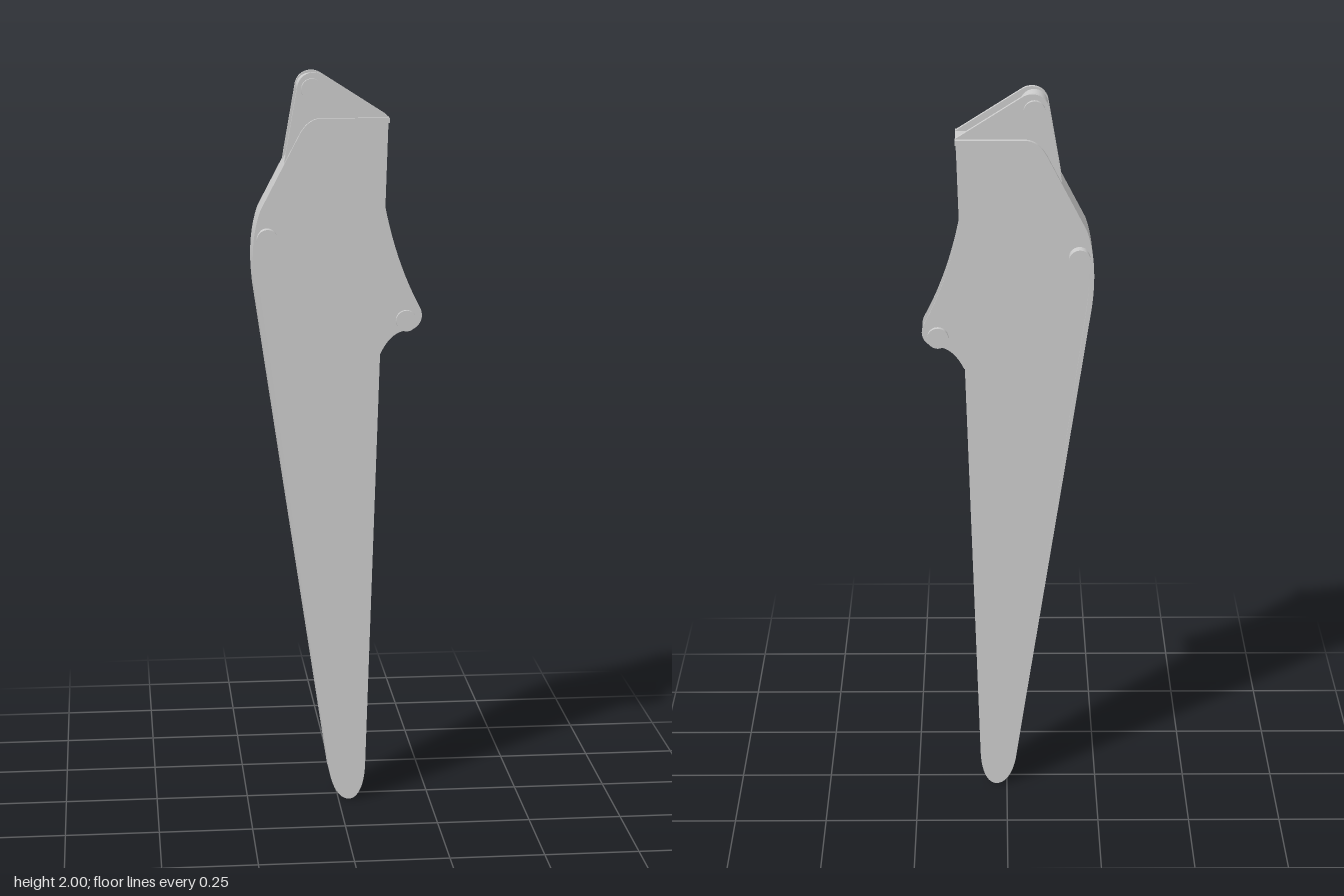
import * as THREE from 'three';
import { toCreasedNormals, mergeVertices } from 'three/addons/utils/BufferGeometryUtils.js';

const material = new THREE.MeshStandardMaterial({ color: 0xcccccc });

function part(name, geometry, parent) {
  const mesh = new THREE.Mesh(geometry, material);
  mesh.name = name;
  parent.add(mesh);
  return mesh;
}

// Plate of the given outline between two depths
function plate(shape, z0, z1) {
  const g = new THREE.ExtrudeGeometry(shape, { depth: z1 - z0, bevelEnabled: false, curveSegments: 16 });
  g.translate(0, 0, z0);
  return toCreasedNormals(g, 0.5);
}

// Pin lying along z
function pin(x, y, radius, halfLength) {
  const g = new THREE.CylinderGeometry(radius, radius, halfLength * 2, 40);
  return g.rotateX(Math.PI / 2).translate(x, y, 0);
}

// Bent edge of the arm, from low on its back up and over the top
function edgePoints() {
  const p = new THREE.Path();
  p.moveTo(-0.054, 0.28);
  p.lineTo(-0.145, 0.9);
  p.lineTo(-0.222, 1.43);
  p.bezierCurveTo(-0.232, 1.51, -0.228, 1.58, -0.207, 1.64);
  p.lineTo(-0.103, 1.838);
  p.quadraticCurveTo(-0.08, 1.88, -0.045, 1.88);
  p.lineTo(0.133, 1.88);
  return p.getPoints(16);
}

// Shift the edge inward by the rim thickness, fading to nothing at the bottom
function insetPoints(points, scale) {
  return points.map((p, i) => {
    const a = points[Math.max(i - 1, 0)], b = points[Math.min(i + 1, points.length - 1)];
    const t = b.clone().sub(a).normalize();
    const d = scale * 0.013 * THREE.MathUtils.clamp((p.y - 0.28) / 1.1, 0, 1);
    return new THREE.Vector2(p.x + t.y * d, p.y - t.x * d);
  });
}

// Raised rim: a rectangular section swept along the edge
function rimGeometry(outer) {
  const inner = insetPoints(outer, 1);
  const pos = [], idx = [];
  outer.forEach((o, i) => {
    const n = inner[i];
    const w = 0.0482 + 0.0103 * THREE.MathUtils.clamp((o.y - 0.28) / 1.1, 0, 1);
    pos.push(o.x, o.y, w, o.x, o.y, -w, n.x, n.y, -w, n.x, n.y, w);
    if (i === 0) return;
    for (let k = 0; k < 4; k++) {
      const a = (i - 1) * 4 + k, b = (i - 1) * 4 + (k + 1) % 4;
      idx.push(a, a + 4, b + 4, a, b + 4, b);
    }
  });
  const e = (outer.length - 1) * 4;
  idx.push(0, 1, 2, 0, 2, 3, e, e + 2, e + 1, e, e + 3, e + 2);
  const g = new THREE.BufferGeometry();
  g.setAttribute('position', new THREE.Float32BufferAttribute(pos, 3));
  g.setIndex(idx);
  return toCreasedNormals(mergeVertices(g), 0.5);
}

export function createModel() {
  const model = new THREE.Group();
  model.name = 'linkArm';
  const edge = edgePoints();

  // Long tapering body with a rounded foot
  const body = new THREE.Shape();
  body.moveTo(0.131, 1.874);
  body.lineTo(0.074, 0.1);
  body.bezierCurveTo(0.072, 0.04, 0.055, 0, 0.029, 0);
  body.bezierCurveTo(0.003, 0, -0.017, 0.035, -0.025, 0.08);
  insetPoints(edge, 0.5).slice(0, -1).forEach(p => body.lineTo(p.x, p.y));
  part('body', plate(body, -0.048, 0.048), model);
  part('raisedRim', rimGeometry(edge), model);

  // Upper lug outline
  const upper = new THREE.Shape();
  upper.moveTo(-0.146, 1.74);
  upper.lineTo(-0.138, 1.79);
  upper.lineTo(-0.107, 1.965);
  upper.bezierCurveTo(-0.1, 1.995, -0.065, 2.008, -0.038, 1.99);
  upper.lineTo(0.132, 1.882);
  upper.lineTo(0.128, 1.8);
  upper.lineTo(-0.1, 1.74);

  // Side lug outline with a hollow upper edge and a rounded eye
  const side = new THREE.Shape();
  side.moveTo(0.11, 1.7);
  side.lineTo(0.122, 1.66);
  side.quadraticCurveTo(0.152, 1.5, 0.217, 1.378);
  side.bezierCurveTo(0.236, 1.345, 0.215, 1.312, 0.18, 1.312);
  side.quadraticCurveTo(0.14, 1.307, 0.113, 1.25);
  side.lineTo(0.08, 1.25);
  side.lineTo(0.08, 1.7);

  const upperBracket = new THREE.Group();
  upperBracket.name = 'upperBracket';
  const sideBracket = new THREE.Group();
  sideBracket.name = 'sideBracket';
  model.add(upperBracket, sideBracket);
  for (const s of [-1, 1]) {
    const end = s > 0 ? 'Front' : 'Back';
    part('upperLug' + end, plate(upper, s * 0.0405 - 0.006, s * 0.0405 + 0.006), upperBracket);
    part('sideLug' + end, plate(side, s * 0.032 - 0.0027, s * 0.032 + 0.0027), sideBracket);
  }

  // Pins and spacer barrel
  part('upperBarrel', pin(-0.07, 1.955, 0.036, 0.036), upperBracket);
  part('upperPin', pin(-0.07, 1.955, 0.028, 0.059), upperBracket);
  part('sidePin', pin(0.182, 1.34, 0.028, 0.047), sideBracket);
  part('pivotPin', pin(-0.189, 1.565, 0.028, 0.078), model);

  return model;
}
